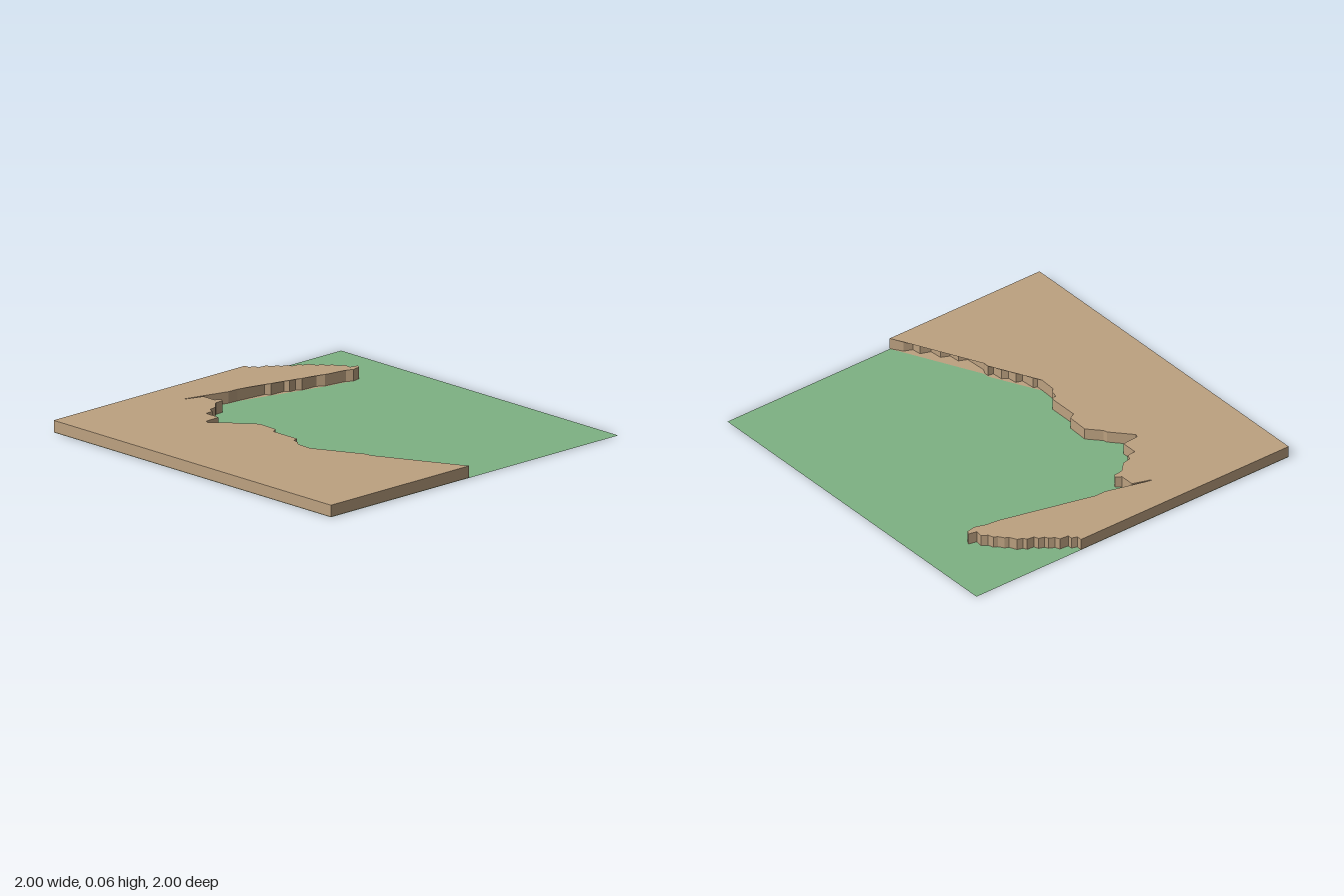
import * as THREE from 'three';

const HEIGHT = 0.065;

// Coastline sections as [x, z], running from the left edge to the right edge
const westCoast = [
  [-1, -0.33], [-0.97, -0.33], [-0.96, -0.36], [-0.935, -0.36], [-0.93, -0.41], [-0.905, -0.42],
  [-0.89, -0.45], [-0.87, -0.46], [-0.86, -0.49], [-0.835, -0.5], [-0.83, -0.54], [-0.81, -0.55],
  [-0.8, -0.58], [-0.76, -0.6], [-0.75, -0.62], [-0.72, -0.64], [-0.71, -0.66], [-0.68, -0.67],
  [-0.66, -0.7], [-0.62, -0.695], [-0.61, -0.74], [-0.59, -0.73], [-0.58, -0.68],
];
const bay = [
  [-0.81, 0.28], [-0.8, 0.27], [-0.77, 0.18], [-0.69, 0.18], [-0.67, 0.15], [-0.655, 0.16],
  [-0.65, 0.21], [-0.63, 0.23], [-0.6, 0.26], [-0.59, 0.31], [-0.56, 0.32], [-0.555, 0.37],
  [-0.465, 0.37], [-0.46, 0.46], [-0.44, 0.47], [-0.33, 0.37], [-0.31, 0.365], [-0.24, 0.3],
  [-0.12, 0.305], [-0.1, 0.34], [0.07, 0.34], [0.08, 0.37], [0.12, 0.38], [0.14, 0.4], [0.23, 0.405],
];
// Straight edges of the top surface
const capeTop = [[-0.6, -0.62], [-0.61, -0.54], [-0.74, -0.03], [-0.74, 0.03]];
const shoreTop = [[0.5, 0.27], [0.53, 0.27], [1, 0.04]];
// Stepped cliffs set back beneath them
const capeCliff = [
  [-0.602, -0.65], [-0.62, -0.52], [-0.645, -0.485], [-0.65, -0.39], [-0.672, -0.365], [-0.672, -0.325],
  [-0.695, -0.31], [-0.698, -0.22], [-0.725, -0.2], [-0.742, -0.03], [-0.745, 0.03],
];
const shoreCliff = [
  [0.27, 0.405], [0.28, 0.385], [0.36, 0.38], [0.37, 0.345], [0.42, 0.34], [0.44, 0.31], [0.5, 0.305],
  [0.505, 0.275], [0.53, 0.275], [0.56, 0.29], [0.68, 0.285], [0.7, 0.24], [0.76, 0.235], [0.78, 0.19],
  [0.85, 0.185], [0.87, 0.13], [0.92, 0.125], [0.94, 0.08], [1, 0.04],
];

// Closed land outline; sign sets whether the shape is later turned up or down
function landShape(cape, shore, sign) {
  const coast = [...westCoast, ...cape, ...bay, ...shore, [1, 1], [-1, 1]];
  return new THREE.Shape(coast.map(([x, z]) => new THREE.Vector2(x, sign * z)));
}

export function createModel() {
  const model = new THREE.Group();
  model.name = 'coastalTerrain';

  const land = new THREE.MeshStandardMaterial({ color: 0xbca180, side: THREE.DoubleSide });
  land.name = 'sandyBrown';
  const lowland = new THREE.MeshStandardMaterial({ color: 0x7eb283, side: THREE.DoubleSide });
  lowland.name = 'softGreen';
  const base = new THREE.MeshStandardMaterial({ color: 0x979488 });
  base.name = 'baseGrey';

  function add(name, geometry, material, y, turn = -1) {
    geometry.rotateX(turn * Math.PI / 2);
    const mesh = new THREE.Mesh(geometry, material);
    mesh.name = name;
    mesh.position.y = y;
    model.add(mesh);
  }

  const topShape = landShape(capeTop, shoreTop, -1);
  const cliffShape = landShape(capeCliff, shoreCliff, -1);

  // Flat green sheet over the whole square
  add('greenSheet', new THREE.PlaneGeometry(2, 2), lowland, 0.001);

  // Raised land: cliffs, top surface and the ledge at their foot
  add('cliffs', new THREE.ExtrudeGeometry(cliffShape, { depth: HEIGHT - 0.004, bevelEnabled: false }), land, 0.003);
  add('landTop', new THREE.ShapeGeometry(topShape), land, HEIGHT);
  add('cliffLedge', new THREE.ShapeGeometry(topShape), land, 0.002);

  // Underside of the land
  add('landUnderside', new THREE.ShapeGeometry(landShape(capeCliff, shoreCliff, 1)), base, 0, 1);

  return model;
}
